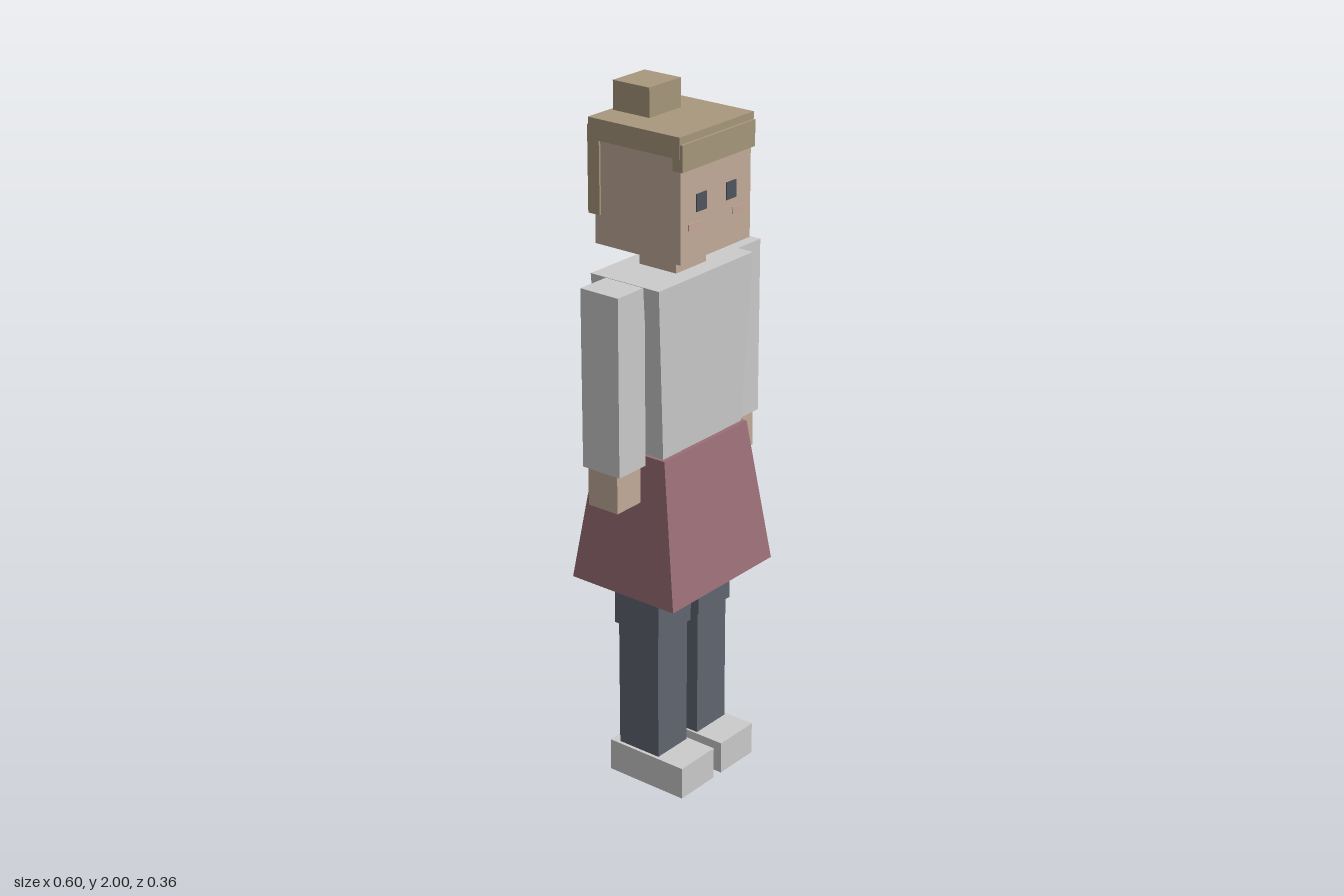
import * as THREE from 'three';

const paint = (color) => new THREE.MeshStandardMaterial({ color, flatShading: true });

export function createModel() {
  const model = new THREE.Group();
  model.name = 'woman';

  const grey = paint(0xcccccc);
  const skin = paint(0xc4ac9a);
  const hair = paint(0xa8987d);
  const cloth = paint(0x9c6f78);
  const denim = paint(0x606671);
  const dark = paint(0x50555e);
  const blush = paint(0xc9a79a);

  // Box given by its min/max along each axis; top can be scaled by tx, tz to taper it.
  function block(parent, name, mat, [x0, x1], [y0, y1], [z0, z1], tx = 1, tz = 1) {
    const geo = new THREE.BoxGeometry(x1 - x0, y1 - y0, z1 - z0);
    const pos = geo.attributes.position;
    for (let i = 0; i < pos.count; i++) {
      if (pos.getY(i) > 0) {
        pos.setX(i, pos.getX(i) * tx);
        pos.setZ(i, pos.getZ(i) * tz);
      }
    }
    geo.computeVertexNormals();
    const mesh = new THREE.Mesh(geo, mat);
    mesh.name = name;
    mesh.position.set((x0 + x1) / 2, (y0 + y1) / 2, (z0 + z1) / 2);
    parent.add(mesh);
  }

  // Head and hair
  const head = new THREE.Group();
  head.name = 'head';
  model.add(head);
  block(head, 'face', skin, [-0.147, 0.147], [1.578, 1.87], [-0.142, 0.143]);
  block(head, 'neck', skin, [-0.063, 0.063], [1.51, 1.58], [-0.062, 0.062]);
  block(head, 'hairCap', hair, [-0.154, 0.154], [1.862, 1.92], [-0.157, 0.146]);
  block(head, 'fringe', hair, [-0.152, 0.152], [1.828, 1.9], [0.122, 0.153]);
  block(head, 'backHair', hair, [-0.153, 0.153], [1.66, 1.9], [-0.161, -0.122]);
  block(head, 'bun', hair, [-0.065, 0.065], [1.915, 2], [-0.147, -0.025]);

  // Upper body and skirt
  block(model, 'shirt', grey, [-0.17, 0.17], [1.03, 1.515], [-0.104, 0.104], 0.2 / 0.17, 0.115 / 0.104);
  block(model, 'skirt', cloth, [-0.22, 0.22], [0.615, 1.03], [-0.178, 0.178], 0.18 / 0.22, 0.116 / 0.178);

  // Parts that come in pairs
  for (const [side, s] of [['left', 1], ['right', -1]]) {
    const pair = (x0, x1) => (s > 0 ? [x0, x1] : [-x1, -x0]);

    block(head, side + 'Eye', dark, pair(0.042, 0.083), [1.706, 1.754], [0.138, 0.146]);
    block(head, side + 'Cheek', blush, pair(0.07, 0.115), [1.662, 1.68], [0.138, 0.145]);

    const arm = new THREE.Group();
    arm.name = side + 'Arm';
    block(arm, 'sleeve', grey, pair(0.194, 0.302), [1.01, 1.514], [-0.063, 0.063]);
    block(arm, 'hand', skin, pair(0.2, 0.296), [0.9, 1.02], [-0.05, 0.05]);

    const leg = new THREE.Group();
    leg.name = side + 'Leg';
    block(leg, 'thigh', denim, pair(0.017, 0.16), [0.48, 0.64], [-0.078, 0.078]);
    block(leg, 'shin', denim, pair(0.024, 0.152), [0.09, 0.485], [-0.07, 0.07]);
    block(leg, 'shoe', grey, pair(0.017, 0.162), [0, 0.096], [-0.097, 0.163]);
    model.add(arm, leg);
  }

  return model;
}
